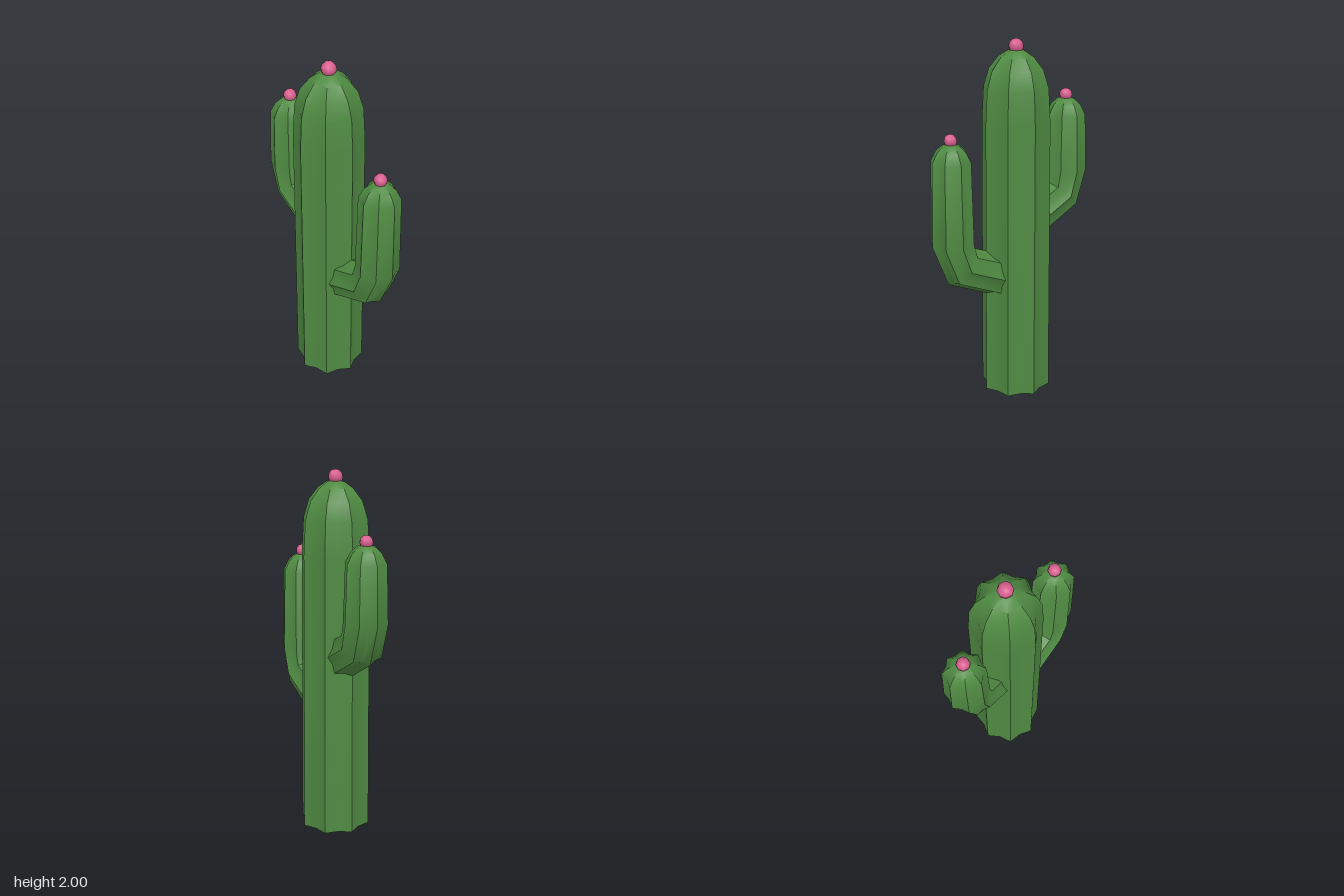
import * as THREE from 'three';
import { toCreasedNormals } from 'three/addons/utils/BufferGeometryUtils.js';

const RIBS = 8, SIDES = RIBS * 2, VALLEY = 0.857;

// Sweeps a ribbed star section through stations [x, y, radius, tilt],
// where tilt is the heading in the xy plane in degrees (90 = straight up).
function ribbedStem(stations) {
  const pos = [], index = [];
  stations.forEach(([x, y, r, tilt = 90]) => {
    const a = THREE.MathUtils.degToRad(tilt);
    for (let j = 0; j < SIDES; j++) {
      const t = (j / SIDES) * Math.PI * 2;
      const rr = j % 2 ? r * VALLEY : r;
      const n = Math.cos(t) * rr;
      pos.push(x + Math.sin(a) * n, y - Math.cos(a) * n, -Math.sin(t) * rr);
    }
  });
  const last = stations.length - 1;
  const start = pos.length / 3, end = start + 1;
  pos.push(stations[0][0], stations[0][1], 0, stations[last][0], stations[last][1], 0);
  for (let j = 0; j < SIDES; j++) {
    const k = (j + 1) % SIDES;
    for (let i = 0; i < last; i++) {
      const a = i * SIDES + j, b = i * SIDES + k;
      index.push(a, b, b + SIDES, a, b + SIDES, a + SIDES);
    }
    index.push(start, k, j, end, last * SIDES + j, last * SIDES + k);
  }
  const g = new THREE.BufferGeometry();
  g.setAttribute('position', new THREE.Float32BufferAttribute(pos, 3));
  g.setIndex(index);
  // ridges stay sharp, valleys and bends are smooth
  return toCreasedNormals(g, 0.75);
}

export function createModel() {
  const green = new THREE.MeshStandardMaterial({ color: 0x4f8a42 });
  green.name = 'cactusGreen';
  const pink = new THREE.MeshStandardMaterial({ color: 0xd95f90 });
  pink.name = 'flowerPink';

  const model = new THREE.Group();
  model.name = 'cactus';

  // One stem with a round bud on its tip
  function addStem(name, stations, budRadius, budY) {
    const part = new THREE.Group();
    part.name = name;
    const stem = new THREE.Mesh(ribbedStem(stations), green);
    stem.name = name + 'Stem';
    const bud = new THREE.Mesh(new THREE.SphereGeometry(budRadius, 8, 6), pink);
    bud.name = name + 'Bud';
    bud.position.set(stations[stations.length - 1][0], budY, 0);
    part.add(stem, bud);
    model.add(part);
  }

  // Rounded tip shared by both arms
  const armTip = (x, y) => [
    [x, y, 0.11], [x, y + 0.053, 0.082], [x, y + 0.083, 0.05], [x, y + 0.096, 0.018],
  ];

  addStem('trunk', [
    [-0.04, 0, 0.198], [-0.04, 1.56, 0.188], [-0.04, 1.745, 0.177],
    [-0.04, 1.84, 0.147], [-0.04, 1.905, 0.095], [-0.04, 1.935, 0.05], [-0.04, 1.945, 0.02],
  ], 0.041, 1.959);

  addStem('leftArm', [
    [0.02, 0.675, 0.12, 24], [0.31, 0.797, 0.12, 42], [0.36, 0.935, 0.12], ...armTip(0.36, 1.395),
  ], 0.036, 1.505);

  addStem('rightArm', [
    [-0.08, 0.975, 0.12, 150], [-0.328, 1.115, 0.12, 132], [-0.365, 1.25, 0.12], ...armTip(-0.365, 1.562),
  ], 0.036, 1.668);

  return model;
}
